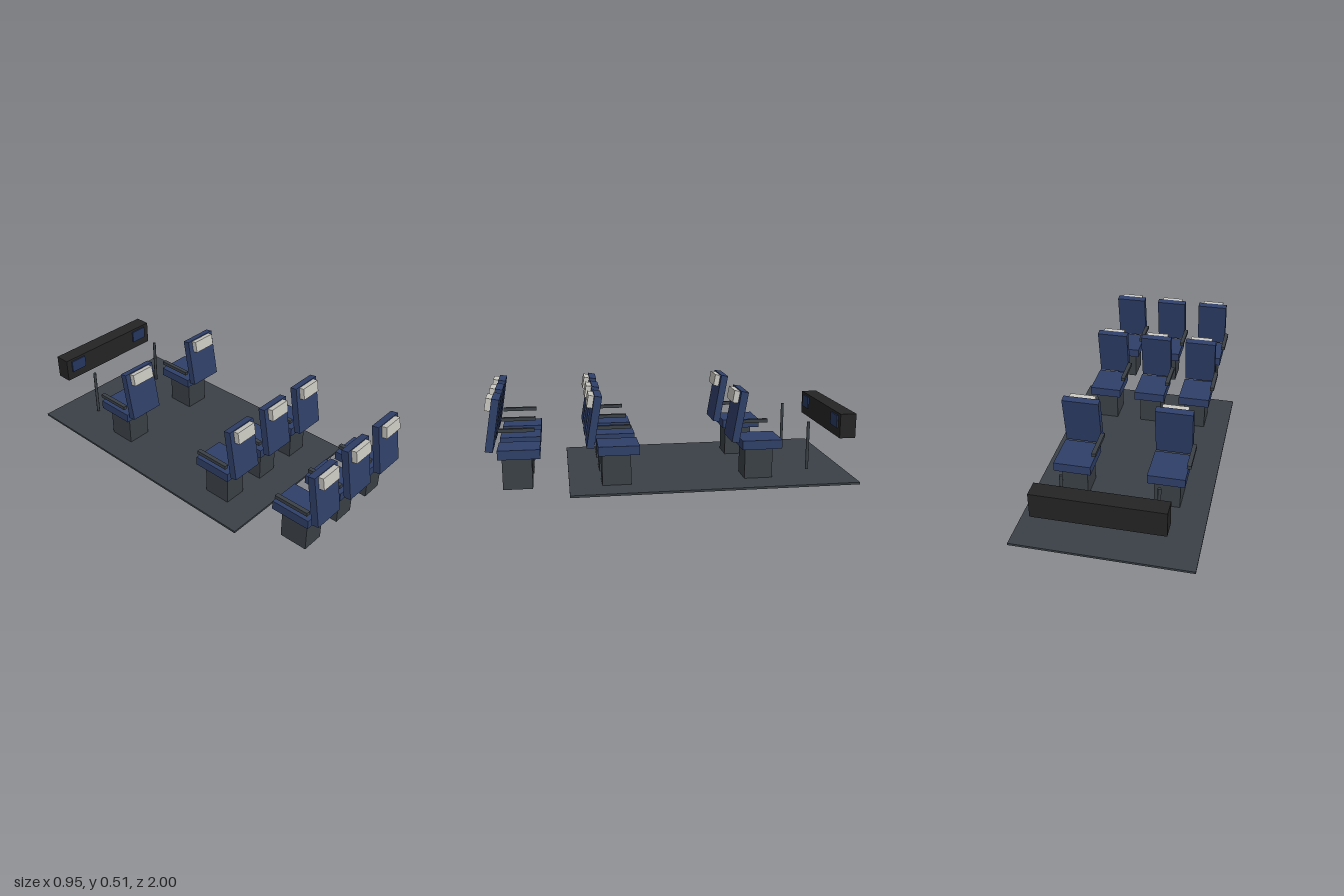
import * as THREE from 'three';

const mat = (name, color) => {
  const m = new THREE.MeshStandardMaterial({ color });
  m.name = name;
  return m;
};

export function createModel() {
  const blue = mat('seat blue', 0x2f3f68);
  const charcoal = mat('charcoal', 0x3a4046);
  const black = mat('black', 0x242424);
  const linen = mat('linen', 0xc8c6bf);
  const screenBlue = mat('screen blue', 0x263860);

  const box = (parent, name, material, size, position) => {
    const m = new THREE.Mesh(new THREE.BoxGeometry(...size), material);
    m.name = name;
    m.position.set(...position);
    parent.add(m);
    return m;
  };

  // One seat, facing -z, with its origin at the centre of the cushion on the ground
  const makeSeat = (width) => {
    const seat = new THREE.Group();
    seat.name = 'seat';
    box(seat, 'pedestal', charcoal, [width * 0.7, 0.17, 0.155], [0, 0.1, 0.012]);
    box(seat, 'cushion', blue, [width, 0.05, 0.22], [0, 0.21, 0]);
    box(seat, 'armrest', charcoal, [0.023, 0.02, 0.195], [-width / 2 - 0.0115, 0.295, 0.017]);

    // Tilted backrest with the linen cover on its +z face
    const back = new THREE.Group();
    back.name = 'backrest';
    back.position.set(0, 0.367, 0.127);
    back.rotation.x = -0.17;
    box(back, 'backPanel', blue, [width, 0.28, 0.04], [0, 0, 0]);
    box(back, 'headCover', linen, [width * 0.7, 0.066, 0.03], [0, 0.102, 0.035]);
    seat.add(back);
    return seat;
  };

  const model = new THREE.Group();
  model.name = 'cabinSection';

  // Floor slab
  box(model, 'floor', charcoal, [0.95, 0.012, 1.56], [0, 0.008, -0.205]);

  // Seat rows
  const rows = [
    { z: -0.47, width: 0.2, xs: [-0.25, 0.25] },
    { z: 0.31, width: 0.18, xs: [-0.27, 0, 0.27] },
    { z: 0.83, width: 0.18, xs: [-0.27, 0, 0.27] },
  ];
  for (const { z, width, xs } of rows) {
    for (const x of xs) {
      const seat = makeSeat(width);
      seat.position.set(x, 0, z);
      model.add(seat);
    }
  }

  // Overhead console with two screens, and the posts before it
  box(model, 'console', black, [0.67, 0.136, 0.09], [0, 0.294, -0.955]);
  for (const x of [-0.25, 0.25]) {
    box(model, 'screen', screenBlue, [0.1, 0.07, 0.008], [x, 0.312, -0.906]);
    const post = new THREE.Mesh(new THREE.CylinderGeometry(0.009, 0.009, 0.273, 8), charcoal);
    post.name = 'post';
    post.position.set(x, 0.169, -0.757);
    model.add(post);
  }

  return model;
}
